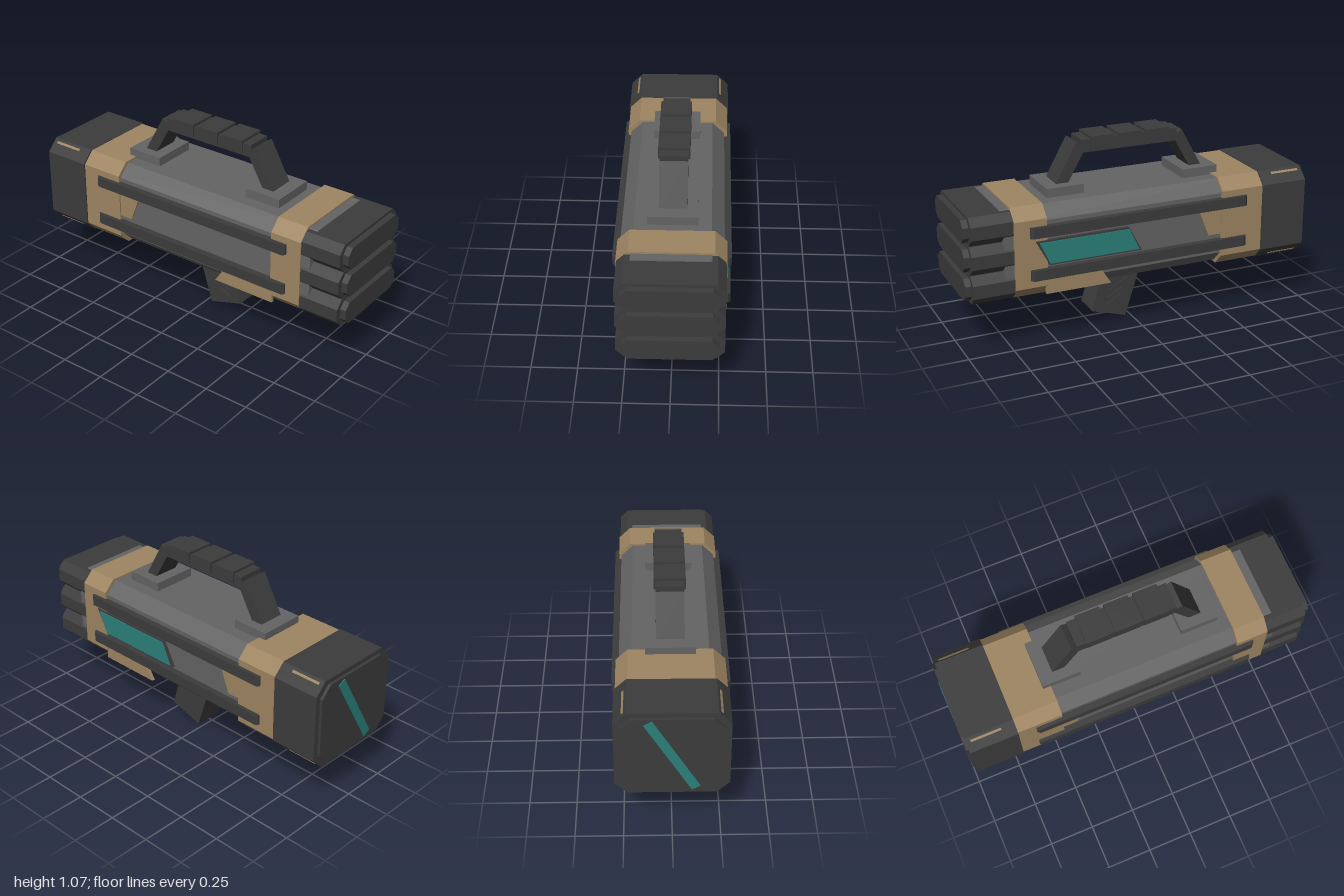
import * as THREE from 'three';

const mat = (name, color) => {
  const m = new THREE.MeshStandardMaterial({ color });
  m.name = name;
  return m;
};

export function createModel() {
  const root = new THREE.Group();
  root.name = 'launcher';
  const dark = mat('charcoal', 0x3c3c3c);
  const gray = mat('steel gray', 0x646464);
  const tan = mat('tan', 0x9e8562);
  const teal = mat('teal', 0x2c807a);

  const add = (name, geo, material, parent = root) => {
    const mesh = new THREE.Mesh(geo, material);
    mesh.name = name;
    parent.add(mesh);
    return mesh;
  };
  const shapeOf = (pts) => new THREE.Shape(pts.map(([a, b]) => new THREE.Vector2(a, b)));

  // Box given by its limits on each axis
  const box = (name, material, x0, x1, y0, y1, z0, z1, parent) => {
    const m = add(name, new THREE.BoxGeometry(x1 - x0, y1 - y0, z1 - z0), material, parent);
    m.position.set((x0 + x1) / 2, (y0 + y1) / 2, (z0 + z1) / 2);
    return m;
  };

  // Octagonal prism along z: half width, bottom, top, corner cut
  const prism = (name, material, w, y0, y1, c, z0, z1) => {
    const s = shapeOf([
      [-w + c, y0], [w - c, y0], [w, y0 + c], [w, y1 - c],
      [w - c, y1], [-w + c, y1], [-w, y1 - c], [-w, y0 + c],
    ]);
    const g = new THREE.ExtrudeGeometry(s, { depth: z1 - z0, bevelEnabled: false });
    return add(name, g.translate(0, 0, z0), material);
  };

  // Side profile of [z, y] points, extruded from x0 to x1
  const sidePlate = (name, material, pts, x0, x1, parent) => {
    const s = shapeOf(pts.map(([z, y]) => [-z, y]));
    const g = new THREE.ExtrudeGeometry(s, { depth: x1 - x0, bevelEnabled: false });
    return add(name, g.rotateY(Math.PI / 2).translate(x0, 0, 0), material, parent);
  };

  // Body, collars and rear block
  prism('bodyCore', gray, 0.267, 0.305, 0.787, 0.067, -0.7, 0.79);
  prism('frontCollar', tan, 0.28, 0.297, 0.797, 0.063, 0.56, 0.74);
  prism('rearCollar', tan, 0.283, 0.293, 0.797, 0.064, -0.715, -0.46);
  prism('rearBlock', dark, 0.29, 0.29, 0.8, 0.065, -0.98, -0.71);
  prism('rearCap', dark, 0.262, 0.315, 0.775, 0.06, -0.996, -0.98);

  // Diagonal stripe across the rear cap
  const stripe = add('rearStripe', new THREE.BoxGeometry(0.05, 0.48, 0.006), teal);
  stripe.position.set(0, 0.545, -0.997);
  stripe.rotation.z = -0.52;

  // Thin trim lines on the rear block's cut corners
  for (const sx of [1, -1]) for (const sy of [1, -1]) {
    const t = add('rearTrim', new THREE.BoxGeometry(0.014, 0.004, 0.17), tan);
    t.position.set(sx * 0.242, 0.545 + sy * 0.2385, -0.87);
    t.rotation.z = -sx * sy * Math.PI / 4;
  }

  // Three stacked barrel caps, each stepped at the tip
  for (const y of [0.384, 0.544, 0.704]) {
    prism('barrel', dark, 0.275, y - 0.078, y + 0.078, 0.042, 0.74, 0.967);
    prism('barrelTip', dark, 0.245, y - 0.062, y + 0.062, 0.034, 0.967, 1.0);
  }

  // Side rails and tan side plates, on both sides
  for (const sx of [1, -1]) {
    const span = (a, b) => (sx > 0 ? [a, b] : [-b, -a]);
    for (const y of [0.432, 0.667]) {
      const s = shapeOf([
        [-0.655, 0.26], [0.61, 0.26], [0.61, 0.29], [0.597, 0.303], [-0.642, 0.303], [-0.655, 0.29],
      ].map(([z, x]) => [sx * x, -z]));
      const g = new THREE.ExtrudeGeometry(s, { depth: 0.058, bevelEnabled: false });
      g.rotateX(Math.PI / 2).rotateZ(Math.PI).scale(1, 1, 1);
      // Turn the profile so its long side lies along z
      g.computeBoundingBox();
      const c = g.boundingBox.getCenter(new THREE.Vector3());
      const rail = add('sideRail', g, dark);
      g.translate(-c.x, -c.y, -c.z);
      rail.rotation.y = Math.PI;
      rail.rotation.z = Math.PI;
      rail.rotation.y = 0;
      rail.position.set(sx * 0.2815, y, 0.0225);
    }
    sidePlate('frontSidePlate', tan,
      [[0.57, 0.31], [0.2, 0.31], [0.265, 0.41], [0.57, 0.41]], ...span(0.256, 0.275));
    sidePlate('rearSidePlate', tan,
      [[-0.47, 0.487], [-0.383, 0.487], [-0.315, 0.66], [-0.47, 0.66]], ...span(0.256, 0.275));
  }

  // Slanted side window on the left side
  sidePlate('windowFrame', dark,
    [[0.625, 0.615], [0.1, 0.615], [0.025, 0.475], [0.55, 0.475]], 0.26, 0.286);
  sidePlate('windowPane', teal,
    [[0.606, 0.606], [0.098, 0.606], [0.04, 0.484], [0.55, 0.484]], 0.284, 0.291);

  // Carrying handle: feet, slanted legs, top bar and grip pads
  const handle = new THREE.Group();
  handle.name = 'handle';
  root.add(handle);
  for (const s of [1, -1]) {
    box('handleFoot', gray, -0.13, 0.13, 0.78, 0.837, s * 0.397 - 0.106, s * 0.397 + 0.106, handle);
    sidePlate('handleLeg', dark,
      [[s * 0.432, 0.83], [s * 0.31, 1.05], [s * 0.255, 1.018], [s * 0.362, 0.83]], -0.074, 0.074, handle);
  }
  box('handleBar', dark, -0.074, 0.074, 0.99, 1.06, -0.28, 0.28, handle);
  for (const z of [-0.16, 0, 0.162]) {
    box('handlePad', dark, -0.083, 0.083, 1.01, 1.075, z - 0.068, z + 0.068, handle);
  }

  // Lower grip with its mount and slanted ribs
  box('gripMount', dark, -0.125, 0.125, 0.27, 0.32, -0.12, 0.19);
  sidePlate('grip', dark,
    [[0.165, 0.29], [0.23, 0.065], [0.03, 0.005], [-0.05, 0.262], [-0.05, 0.29]], -0.081, 0.081);
  for (const sx of [1, -1]) for (const i of [-1, 0, 1]) {
    const rib = add('gripRib', new THREE.BoxGeometry(0.008, 0.016, 0.12), dark);
    rib.position.set(sx * 0.082, 0.155 + i * 0.045, 0.09 - i * 0.014);
    rib.rotation.x = 0.5;
  }
  return root;
}
